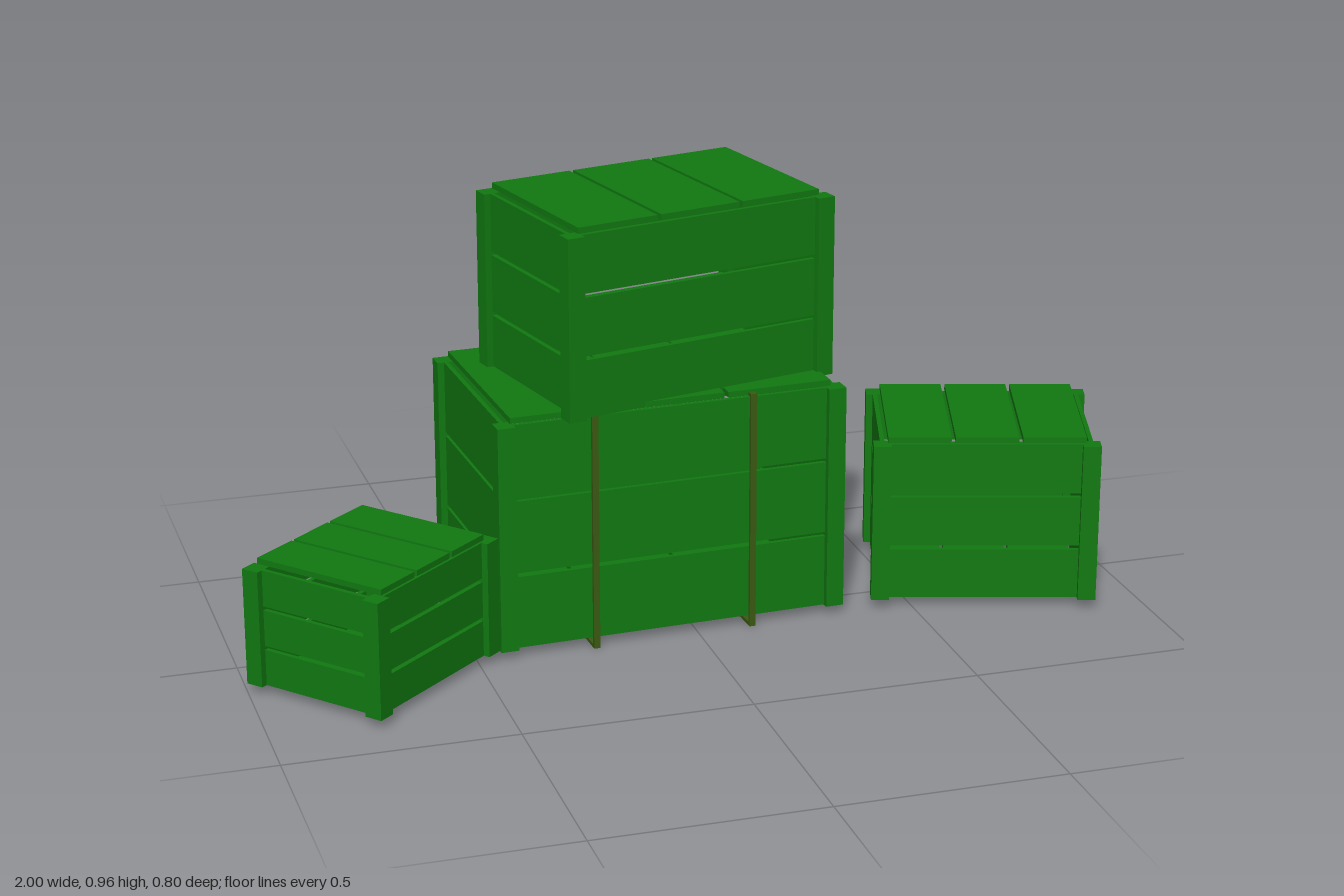
import * as THREE from 'three';

const green = new THREE.MeshStandardMaterial({ color: 0x117a11 });
const strapMat = new THREE.MeshStandardMaterial({ color: 0x3a5a12 });

const POST = 0.04, PLANK = 0.01, LID = 0.013, GAP = 0.009;

function box(parent, name, size, pos, mat = green) {
  const mesh = new THREE.Mesh(new THREE.BoxGeometry(...size), mat);
  mesh.name = name;
  mesh.position.set(...pos);
  parent.add(mesh);
  return mesh;
}

// w and d are the distances between post centres; h is the post height
function crate(name, { w, d, h, x, y, z, turn }) {
  const g = new THREE.Group();
  g.name = name;
  g.position.set(x, y, z);
  g.rotation.y = turn;

  // corner posts
  for (const sx of [-1, 1]) for (const sz of [-1, 1])
    box(g, 'cornerPost', [POST, h, POST], [sx * w / 2, h / 2, sz * d / 2]);

  // three rows of planks on each side, on the centre lines of the posts
  const row = (h - 2 * GAP) / 3;
  for (let i = 0; i < 3; i++) {
    const py = row / 2 + i * (row + GAP);
    for (const s of [-1, 1]) {
      box(g, 'sidePlank', [w, row, PLANK], [0, py, s * d / 2]);
      box(g, 'endPlank', [PLANK, row, d], [s * w / 2, py, 0]);
    }
  }

  // lid and floor, each of three boards running front to back
  const span = w - 0.024, board = (span - 2 * GAP) / 3;
  for (let i = -1; i <= 1; i++) {
    const px = i * (board + GAP);
    box(g, 'lidBoard', [board, LID, d + PLANK], [px, h + 0.004 + LID / 2, 0]);
    box(g, 'floorBoard', [board, LID, d - PLANK], [px, 0.002 + LID / 2, 0]);
  }
  return g;
}

// thin band looped around a crate from front to back
function strap(parent, x, d, bottom, top) {
  const g = new THREE.Group();
  g.name = 'strap';
  const wide = 0.014, t = 0.008, half = d / 2 + 0.018;
  for (const s of [-1, 1])
    box(g, 'strapUpright', [wide, top - bottom, t], [x, (top + bottom) / 2, s * half], strapMat);
  for (const y of [bottom + t / 2, top - t / 2])
    box(g, 'strapCrossing', [wide, t, 2 * half - t], [x, y, 0], strapMat);
  parent.add(g);
}

export function createModel() {
  const model = new THREE.Group();
  model.name = 'crateStack';

  const big = crate('largeCrate', { w: 0.751, d: 0.458, h: 0.51, x: -0.067, y: 0.02, z: -0.134, turn: 0.048 });
  for (const x of [-0.18, 0.18]) strap(big, x, 0.458, -0.02, 0.522);

  model.add(
    big,
    crate('upperCrate', { w: 0.61, d: 0.385, h: 0.404, x: -0.029, y: 0.536, z: -0.12, turn: 0.223 }),
    crate('smallCrate', { w: 0.383, d: 0.312, h: 0.26, x: -0.725, y: 0.02, z: 0.125, turn: 0.71 }),
    crate('mediumCrate', { w: 0.46, d: 0.346, h: 0.363, x: 0.704, y: 0.02, z: -0.022, turn: -0.298 })
  );
  return model;
}
